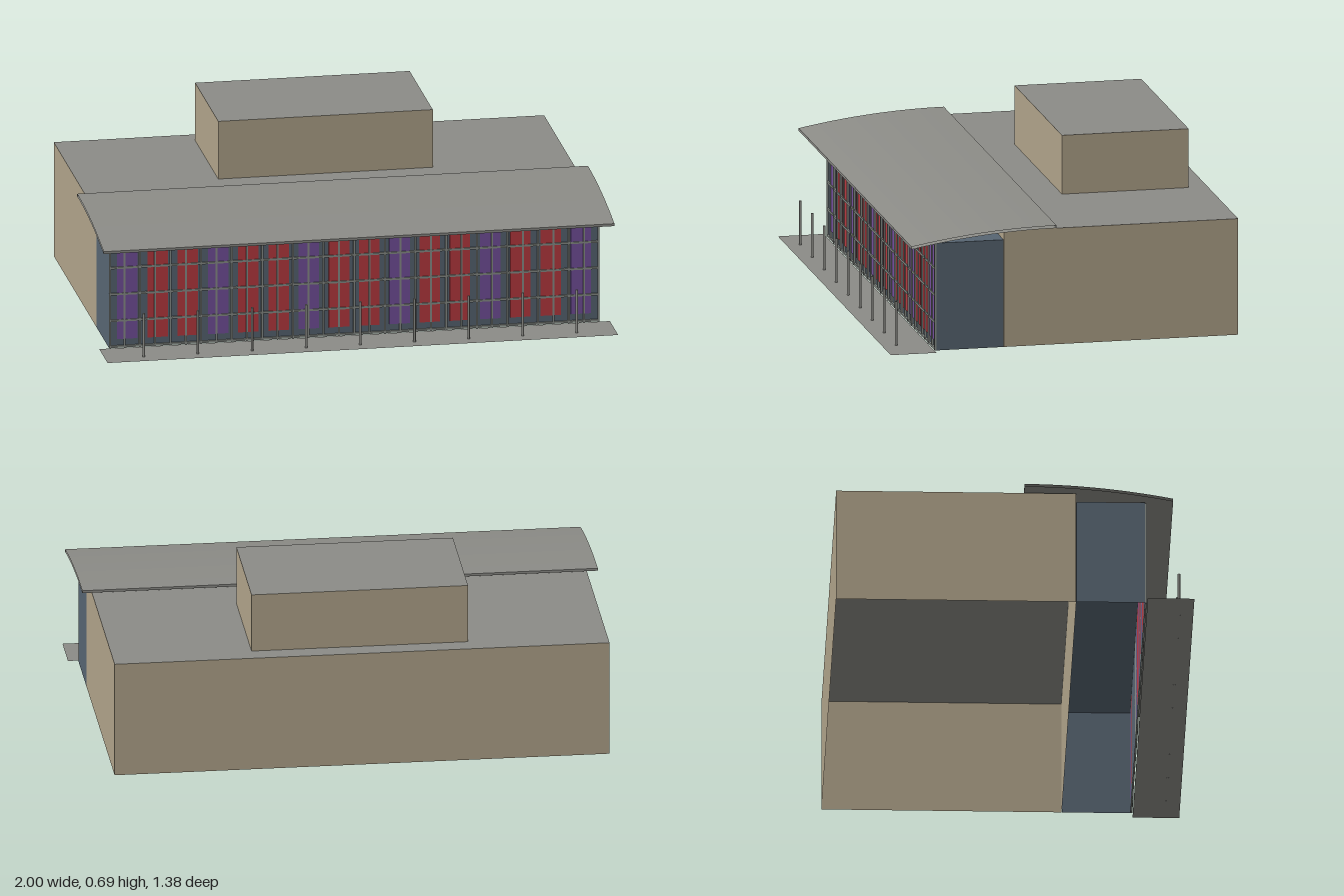
import * as THREE from 'three';

const mat = (name, color, side = THREE.DoubleSide) => {
  const m = new THREE.MeshStandardMaterial({ color, side });
  m.name = name;
  return m;
};

// Hollow block standing on y0 with no floor; the top may have its own colour
function openBlock(name, [x0, x1], [y0, y1], [z0, z1], wall, top) {
  const geo = new THREE.BoxGeometry(x1 - x0, y1 - y0, z1 - z0);
  const index = Array.from(geo.index.array);
  index.splice(18, 6);
  geo.setIndex(index);
  geo.clearGroups();
  geo.addGroup(0, 12, 0);
  geo.addGroup(12, 6, 1);
  geo.addGroup(18, 12, 0);
  const mesh = new THREE.Mesh(geo, [wall, top]);
  mesh.name = name;
  mesh.position.set((x0 + x1) / 2, (y0 + y1) / 2, (z0 + z1) / 2);
  return mesh;
}

// Solid box centred on x, y, z
function bar(name, w, h, d, x, y, z, material) {
  const mesh = new THREE.Mesh(new THREE.BoxGeometry(w, h, d), material);
  mesh.name = name;
  mesh.position.set(x, y, z);
  return mesh;
}

// Curved canopy: upper and lower sheets joined along front and back, open at the ends
function canopyGeometry() {
  const z0 = 0.035, z1 = 0.608, thick = 0.01, steps = 16;
  const upper = [], lower = [];
  for (let i = 0; i <= steps; i++) {
    const t = i / steps;
    const z = z0 + (z1 - z0) * t;
    const y = 0.48 - 0.055 * t * t;
    upper.push([y, z]);
    lower.unshift([y - thick, z]);
  }
  const loop = [...upper, ...lower, upper[0]];
  const pos = [];
  for (let i = 0; i < loop.length - 1; i++) {
    const [ya, za] = loop[i], [yb, zb] = loop[i + 1];
    pos.push(-1, ya, za, -1, yb, zb, 1, yb, zb);
    pos.push(-1, ya, za, 1, yb, zb, 1, ya, za);
  }
  const geo = new THREE.BufferGeometry();
  geo.setAttribute('position', new THREE.Float32BufferAttribute(pos, 3));
  geo.computeVertexNormals();
  return geo;
}

export function createModel() {
  const tan = mat('tan wall', 0xb0a38a);
  const gray = mat('gray roof', 0x8c8c87);
  const glass = mat('blue gray glass', 0x576572);
  const red = mat('red panel', 0xb83a40);
  const purple = mat('purple panel', 0x74509c);
  const frame = mat('frame gray', 0x8a8f8a);

  const model = new THREE.Group();
  model.name = 'building';

  // Main hall, rooftop block and glazed front hall
  model.add(openBlock('mainHall', [-0.96, 0.96], [0, 0.46], [-0.69, 0.235], tan, gray));
  model.add(openBlock('rooftopBlock', [-0.42, 0.42], [0.46, 0.693], [-0.615, -0.115], tan, gray));
  model.add(openBlock('glazedHall', [-0.96, 0.96], [0, 0.425], [0.236, 0.5], glass, glass));

  // Canopy over the front
  const canopy = new THREE.Mesh(canopyGeometry(), gray);
  canopy.name = 'canopy';
  model.add(canopy);

  // Pavement strip
  const pavement = new THREE.Mesh(new THREE.PlaneGeometry(2, 0.18), gray);
  pavement.name = 'pavement';
  pavement.rotation.x = -Math.PI / 2;
  pavement.position.set(0, 0.0005, 0.6);
  model.add(pavement);

  // Coloured facade panels: one purple, then two red
  const panels = new THREE.Group();
  panels.name = 'facadePanels';
  for (let i = 0; i < 16; i++) {
    const x = (i - 7.5) * 0.1184;
    panels.add(bar('panel', 0.08, 0.375, 0.003, x, 0.222, 0.5015, i % 3 ? red : purple));
  }
  model.add(panels);

  // Mullion grid
  const grid = new THREE.Group();
  grid.name = 'mullionGrid';
  for (let i = 0; i <= 32; i++) {
    const x = THREE.MathUtils.clamp(-0.96 + i * 0.06, -0.956, 0.956);
    grid.add(bar('mullion', 0.007, 0.42, 0.008, x, 0.21, 0.504, frame));
  }
  for (const y of [0.005, 0.11, 0.217, 0.323, 0.418]) {
    grid.add(bar('transom', 1.92, 0.008, 0.007, 0, y, 0.5035, frame));
  }
  model.add(grid);

  // Row of bollards
  const bollards = new THREE.Group();
  bollards.name = 'bollards';
  for (let i = -4; i <= 4; i++) {
    const post = new THREE.Mesh(new THREE.CylinderGeometry(0.005, 0.005, 0.175, 10), gray);
    post.name = 'bollard';
    post.position.set(i * 0.212, 0.0875, 0.635);
    bollards.add(post);
  }
  model.add(bollards);

  return model;
}
